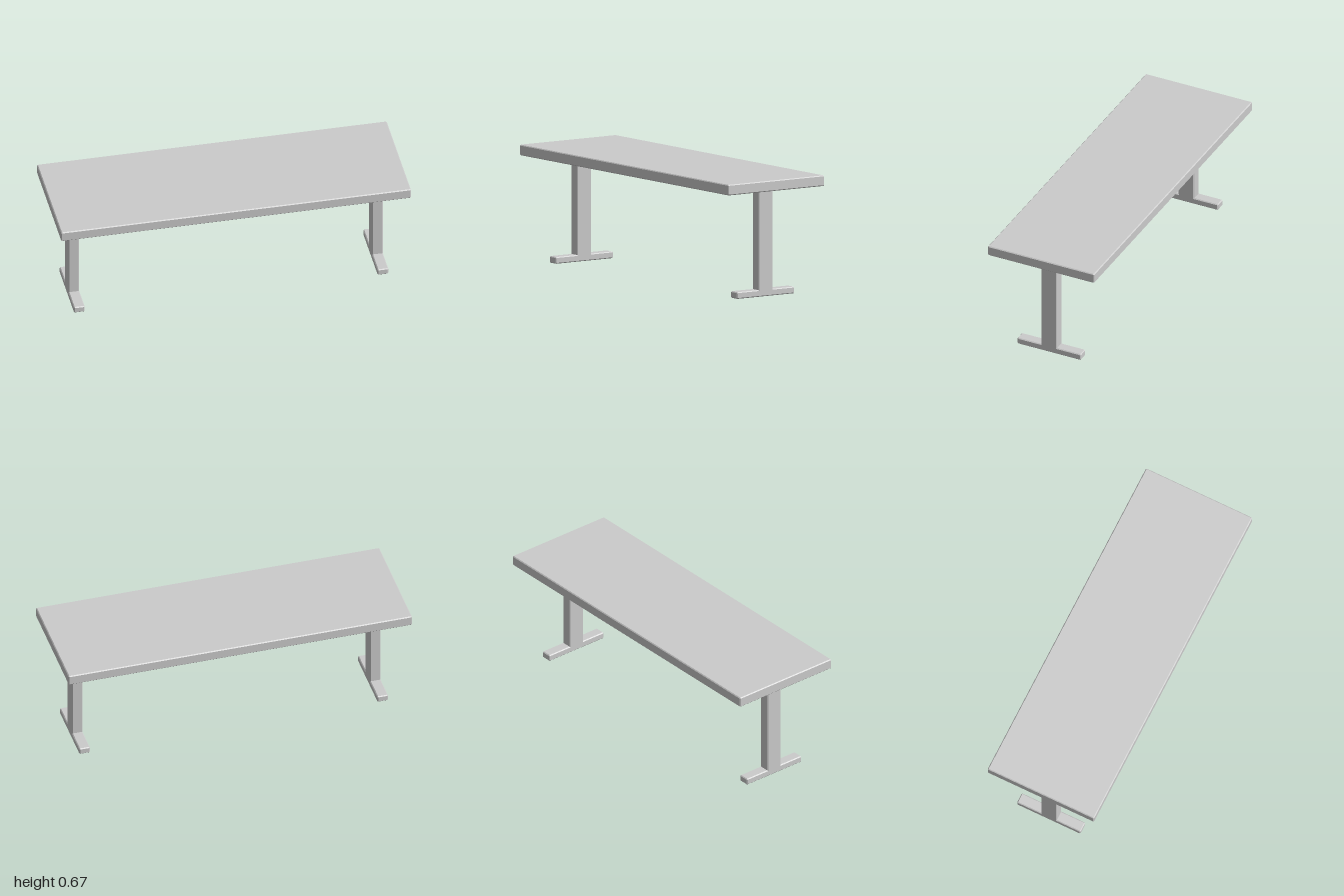
import * as THREE from 'three';

const BEVEL = 0.005;
const material = new THREE.MeshStandardMaterial({ color: 0xcccccc, flatShading: true });

// Slab of the given outline, centred on z, with chamfered rims
function chamferedSlab(points, thickness) {
  const shape = new THREE.Shape(points.map(([x, y]) => new THREE.Vector2(x, y)));
  const geometry = new THREE.ExtrudeGeometry(shape, {
    depth: thickness - 2 * BEVEL,
    bevelThickness: BEVEL,
    bevelSize: BEVEL,
    bevelOffset: -BEVEL,
    bevelSegments: 1,
  });
  return geometry.translate(0, 0, BEVEL - thickness / 2);
}

// Completes a right-hand outline (bottom to top) with its mirror image
function mirrored(half) {
  return [...half, ...half.map(([x, y]) => [-x, y]).reverse()];
}

export function createModel() {
  const group = new THREE.Group();
  const c = BEVEL;

  // Table top
  const w = 1, d = 0.332, thickness = 0.06;
  const topOutline = mirrored([[w - c, -d], [w, -d + c], [w, d - c], [w - c, d]]);
  const topGeometry = chamferedSlab(topOutline, thickness).rotateX(-Math.PI / 2);
  const top = new THREE.Mesh(topGeometry, material);
  top.name = 'tableTop';
  top.position.y = 0.637;
  group.add(top);

  // Inverted-T legs: a wide flat foot with an upright post
  const foot = 0.198, footHeight = 0.038, post = 0.049, postTop = 0.612;
  const legOutline = mirrored([
    [foot - c, 0], [foot, c], [foot, footHeight - c], [foot - c, footHeight],
    [post, footHeight], [post, postTop],
  ]);
  const legGeometry = chamferedSlab(legOutline, 0.062).rotateY(Math.PI / 2);
  for (const side of [1, -1]) {
    const leg = new THREE.Mesh(legGeometry, material);
    leg.name = side > 0 ? 'leftLeg' : 'rightLeg';
    leg.position.x = side * 0.868;
    group.add(leg);
  }

  return group;
}
